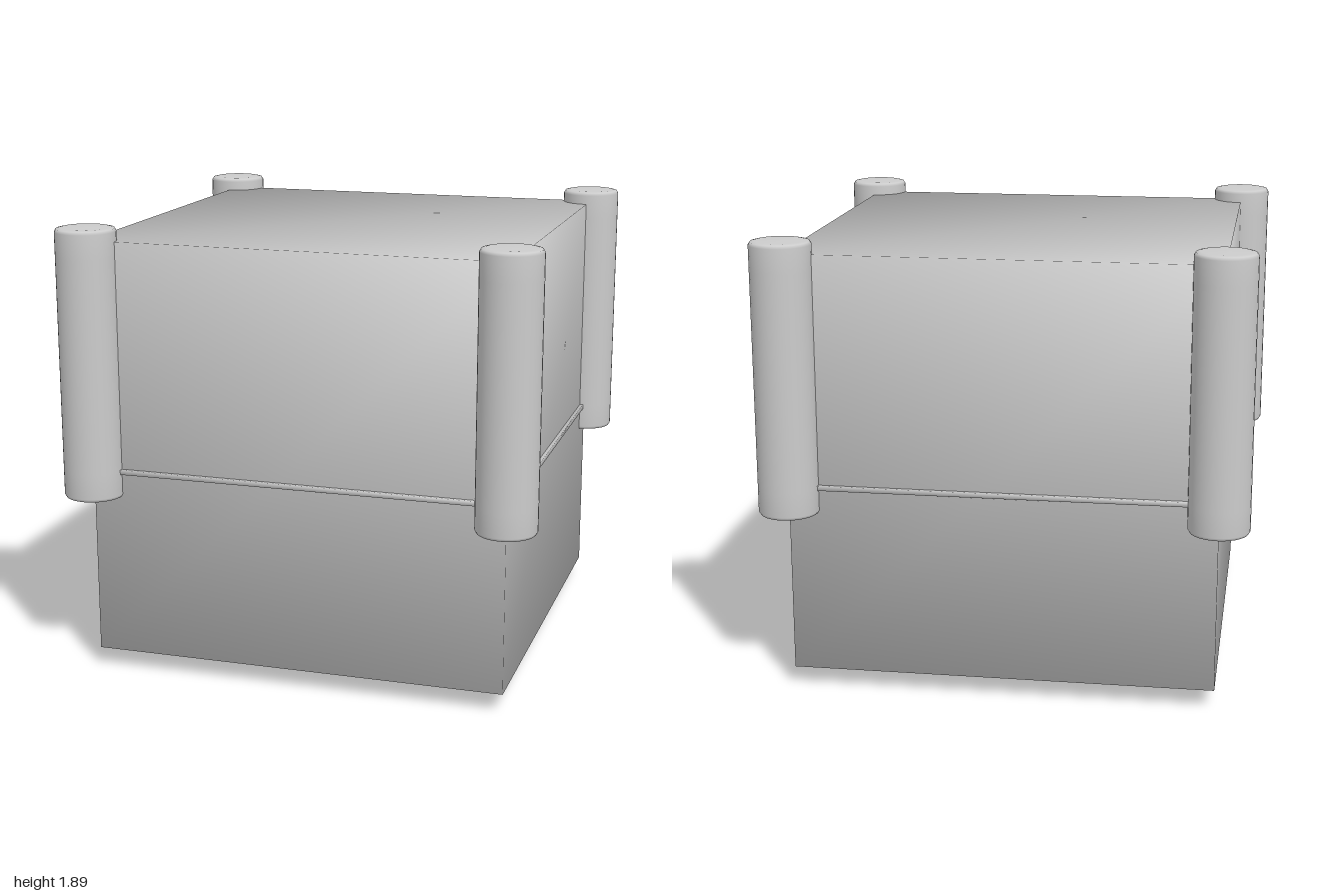
import * as THREE from 'three';

const material = new THREE.MeshStandardMaterial({ color: 0xcccccc });
const openMaterial = new THREE.MeshStandardMaterial({ color: 0xcccccc, side: THREE.DoubleSide });

// Box whose corner normals are shared by its three faces, for soft shading
function softBox(width, height, depth) {
  const geometry = new THREE.BoxGeometry(width, height, depth);
  const { position, normal } = geometry.attributes;
  const n = new THREE.Vector3();
  for (let i = 0; i < position.count; i++) {
    n.set(Math.sign(position.getX(i)), Math.sign(position.getY(i)), Math.sign(position.getZ(i))).normalize();
    normal.setXYZ(i, n.x, n.y, n.z);
  }
  return geometry;
}

export function createModel() {
  const model = new THREE.Group();
  const add = (name, geometry, x, y, z, mat = material) => {
    const mesh = new THREE.Mesh(geometry, mat);
    mesh.name = name;
    mesh.position.set(x, y, z);
    model.add(mesh);
  };

  // Cube body and the thin band running round it
  add('body', softBox(1.75, 1.75, 1.75), 0, 0.955, 0);
  add('band', softBox(1.78, 0.02, 1.78), 0, 0.872, 0);

  // Open ring under the body
  add('baseRing', new THREE.CylinderGeometry(0.425, 0.425, 0.08, 64, 1, true), 0, 0.04, 0, openMaterial);

  // Corner posts with slightly rounded ends
  const half = 0.565;
  const endProfile = [[0, half], [0.1, half - 0.002], [0.118, half - 0.006], [0.125, half - 0.018], [0.125, half - 0.12]];
  const profile = [
    ...endProfile.map(([r, y]) => new THREE.Vector2(r, -y)),
    ...endProfile.map(([r, y]) => new THREE.Vector2(r, y)).reverse(),
  ];
  const post = new THREE.LatheGeometry(profile, 32);
  for (const [side, x] of [['Left', 0.875], ['Right', -0.875]]) {
    for (const [end, z] of [['front', 0.875], ['back', -0.875]]) {
      add(`${end}${side}Post`, post, x, 1.322, z);
    }
  }

  return model;
}
